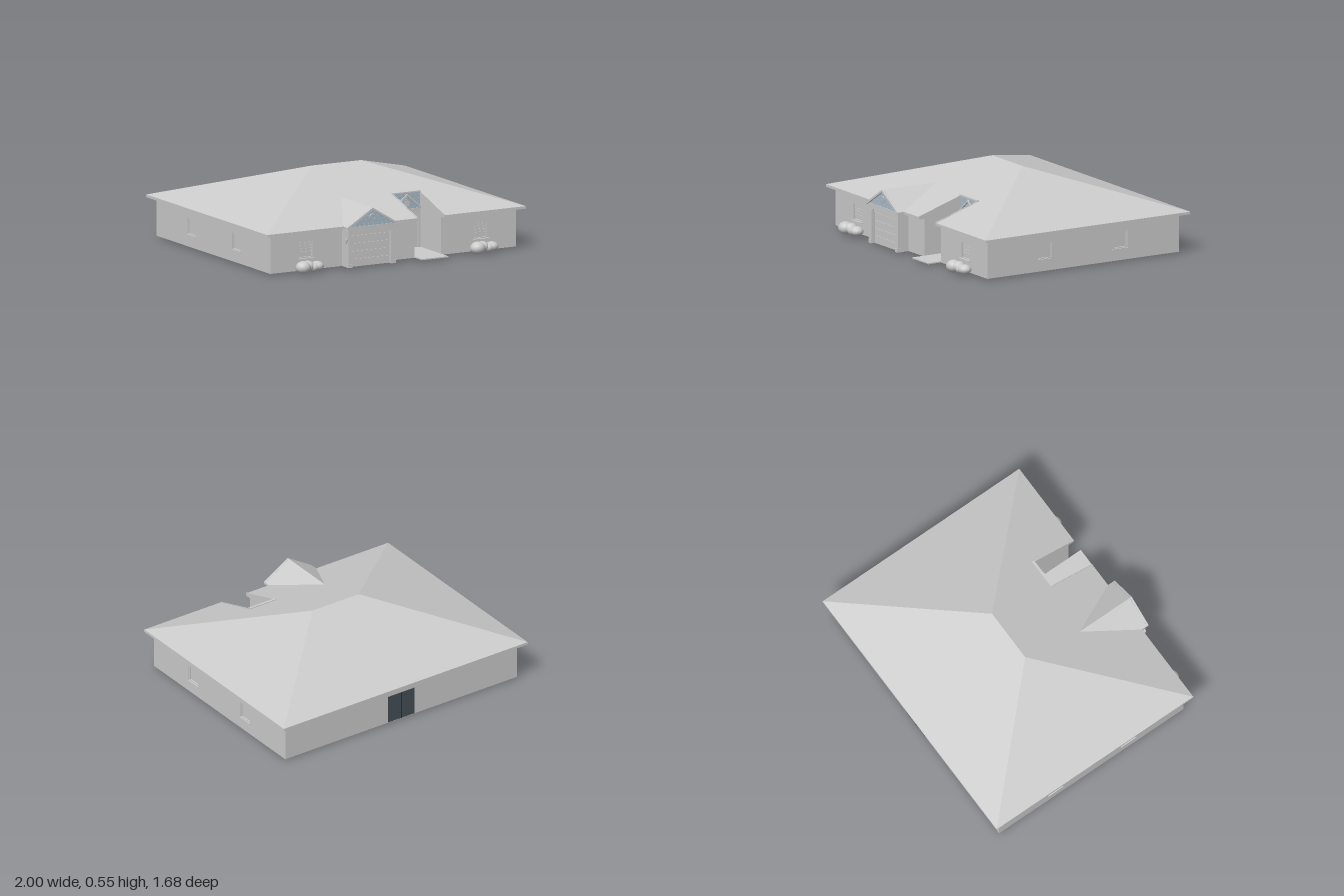
import * as THREE from 'three';

const mat = (color) => new THREE.MeshStandardMaterial({ color, flatShading: true, side: THREE.DoubleSide });
const GREY = mat(0xcccccc), SIDING = mat(0xa9bcc9), DARK = mat(0x2e2e2e), GLASS = mat(0x444f58);
const SOFT = new THREE.MeshStandardMaterial({ color: 0xcccccc });

// Main dimensions
const BASE = 0.01, EAVE = 0.288, RIDGE = 0.545;
const WALL = { x: 0.95, front: 0.73, back: -0.79 };
const ROOF = { x: 1, front: 0.775, back: -0.845, ridgeX: 0.19, ridgeZ: -0.03 };
const ENTRY = { x0: 0.165, x1: 0.37, back: 0.445 };
const GARAGE = { x: -0.215, half: 0.195, front: 0.83, apexZ: 0.4, ridge: 0.408 };

function add(parent, name, geometry, material = GREY, x = 0, y = 0, z = 0) {
  const mesh = new THREE.Mesh(geometry, material);
  mesh.name = name;
  mesh.position.set(x, y, z);
  parent.add(mesh);
  return mesh;
}

// Box given by its extents
function box(parent, name, [x0, x1], [y0, y1], [z0, z1], material = GREY) {
  return add(parent, name, new THREE.BoxGeometry(x1 - x0, y1 - y0, z1 - z0), material,
    (x0 + x1) / 2, (y0 + y1) / 2, (z0 + z1) / 2);
}

const polygon = (points) => new THREE.Shape(points.map(([x, y]) => new THREE.Vector2(x, y)));
const extrude = (shape, depth) => new THREE.ExtrudeGeometry(shape, { depth, bevelEnabled: false, curveSegments: 16 });

// Plan outline (x, z) laid flat, then lifted by a height rule
function slope(points, height) {
  const geometry = new THREE.ShapeGeometry(polygon(points.map(([x, z]) => [x, -z])));
  geometry.rotateX(-Math.PI / 2);
  const p = geometry.attributes.position;
  for (let i = 0; i < p.count; i++) p.setY(i, height(p.getX(i), p.getZ(i)));
  geometry.computeVertexNormals();
  return geometry;
}

// Plan outline (x, z) turned into a flat slab
function slab(points, y, depth) {
  return extrude(polygon(points.map(([x, z]) => [x, -z])), depth).rotateX(-Math.PI / 2).translate(0, y, 0);
}

// Rectangle with the entry recess cut into its front edge
const notched = (x, front, back) => [[-x, front], [ENTRY.x0, front], [ENTRY.x0, ENTRY.back],
  [ENTRY.x1, ENTRY.back], [ENTRY.x1, front], [x, front], [x, back], [-x, back]];

const roofHeight = (x, z) => EAVE + (RIDGE - EAVE) * Math.min(
  (ROOF.x - Math.abs(x)) / (ROOF.x - ROOF.ridgeX),
  (z - ROOF.back) / (ROOF.ridgeZ - ROOF.back),
  (ROOF.front - z) / (ROOF.front - ROOF.ridgeZ));

const WIN = { w: 0.11, y0: 0.092, y1: 0.207 };

// Window set into a wall whose outer face is local z = 0
function addWindow(parent, cx, blinds) {
  const g = new THREE.Group();
  g.name = 'window';
  g.position.x = cx;
  parent.add(g);
  const h = WIN.w / 2, t = 0.007;
  box(g, 'windowPane', [-h, h], [WIN.y0, WIN.y1], [-0.019, -0.014]);
  for (const s of [-1, 1]) box(g, 'windowJamb', [s * h - (s > 0 ? t : 0), s * h + (s < 0 ? t : 0)], [WIN.y0, WIN.y1], [-0.016, -0.004]);
  for (const y of [WIN.y0, WIN.y1 - t]) box(g, 'windowRail', [-h, h], [y, y + t], [-0.016, -0.004]);
  box(g, 'windowSill', [-h - 0.008, h + 0.008], [WIN.y0 - 0.008, WIN.y0], [-0.01, blinds ? 0.012 : 0.005]);
  if (blinds) for (let i = 0; i < 4; i++) {
    const y = 0.118 + i * 0.021;
    box(g, 'blindSlat', [-h + t, h - t], [y, y + 0.017], [-0.014, -0.01]);
  }
}

// Wall from an outline, with window openings
function addWall(parent, name, outline, windows, blinds) {
  const g = new THREE.Group();
  g.name = name;
  parent.add(g);
  const shape = polygon(outline);
  for (const x of windows) {
    const a = x - WIN.w / 2, b = x + WIN.w / 2;
    shape.holes.push(polygon([[a, WIN.y0], [a, WIN.y1], [b, WIN.y1], [b, WIN.y0]]));
    addWindow(g, x, blinds);
  }
  add(g, name + 'Panel', extrude(shape, 0.02), GREY, 0, 0, -0.02);
  return g;
}

// Overlapping horizontal boards inside a triangle or rectangle
function addSiding(parent, cx, z, y0, y1, halfAt, rows) {
  const step = (y1 - y0) / rows;
  for (let i = 0; i < rows; i++) {
    const a = y0 + i * step, b = a + step, wa = halfAt(a), wb = halfAt(b);
    add(parent, 'sidingBoard', extrude(polygon([[cx - wa, a], [cx + wa, a], [cx + wb, b], [cx - wb, b]]),
      i % 2 ? 0.003 : 0.006), SIDING, 0, 0, z);
  }
}

// Inverted V trim board
const chevron = (half, y0, y1, t) => polygon([[-half, y0], [0, y1], [half, y0], [half, y0 - t], [0, y1 - t], [-half, y0 - t]]);

function buildRoof(root) {
  const g = new THREE.Group();
  g.name = 'roof';
  root.add(g);
  const { x: X, front, back, ridgeX: r, ridgeZ: rz } = ROOF;
  add(g, 'frontSlope', slope([...notched(X, front, back).slice(0, 6), [r, rz], [-r, rz]], roofHeight));
  add(g, 'backSlope', slope([[-X, back], [-r, rz], [r, rz], [X, back]], roofHeight));
  for (const s of [-1, 1]) add(g, 'hipSlope', slope([[s * X, front], [s * X, back], [s * r, rz]], roofHeight));
  add(g, 'eaves', slab(notched(X, front, back), 0.27, EAVE - 0.27));
}

function buildWalls(root) {
  const top = 0.272, { x: X, front, back } = WALL;
  add(root, 'floor', slab(notched(X, front, back), BASE, 0.006));
  addWall(root, 'frontWall', [[-X, BASE], [ENTRY.x0, BASE], [ENTRY.x0, top], [-X, top]], [-0.675], true).position.z = front;
  addWall(root, 'frontWall', [[ENTRY.x1, BASE], [X, BASE], [X, top], [ENTRY.x1, top]], [0.675], true).position.z = front;
  const mid = (front + back) / 2, half = (front - back) / 2;
  for (const s of [-1, 1]) {
    const wall = addWall(root, 'sideWall', [[-half, BASE], [half, BASE], [half, top], [-half, top]],
      [0.275, -0.325].map((z) => -s * (z - mid)), false);
    wall.position.set(s * X, 0, mid);
    wall.rotation.y = s * Math.PI / 2;
  }
  box(root, 'backWall', [-X, X], [BASE, top], [back, back + 0.02]);
  // Sliding patio door
  for (const s of [-1, 1]) box(root, 'patioDoorPanel', [s * 0.055 - 0.053, s * 0.055 + 0.053], [0.014, 0.21], [back - 0.003, back], GLASS);
  box(root, 'patioDoorPost', [-0.003, 0.003], [0.014, 0.21], [back - 0.005, back], DARK);
}

function buildEntry(root) {
  const g = new THREE.Group();
  g.name = 'entry';
  root.add(g);
  const { x0, x1, back } = ENTRY, cx = (x0 + x1) / 2, half = (x1 - x0) / 2;
  box(g, 'entryPath', [x0, x1], [BASE, 0.018], [back, 0.83]);
  box(g, 'entryBackWall', [x0, x1], [BASE, 0.395], [back - 0.012, back]);
  box(g, 'entryCap', [x0 - 0.008, x1 + 0.008], [0.393, 0.402], [back - 0.012, back + 0.006]);
  // Recess side walls follow the roof slope
  for (const x of [x0 - 0.006, x1]) {
    const side = polygon([[-0.73, BASE], [-back, BASE], [-back, roofHeight(0.2, back) + 0.004],
      [-ROOF.front, EAVE + 0.004], [-ROOF.front, 0.27], [-0.73, 0.27]]);
    add(g, 'entrySideWall', extrude(side, 0.006).rotateY(Math.PI / 2), GREY, x);
  }
  addSiding(g, cx, back, 0.285, 0.393, () => half, 8);
  add(g, 'entryGableTrim', extrude(chevron(half, 0.302, 0.388, 0.016), 0.014), GREY, cx, 0, back);
  add(g, 'entryGableVent', extrude(polygon([[-0.017, 0.305], [0.017, 0.305], [0.017, 0.335], [0, 0.35], [-0.017, 0.335]]), 0.01), GREY, cx, 0, back);
  box(g, 'entryBeam', [x0, x1], [0.24, 0.287], [back, back + 0.012]);
  for (const x of [x0, x1 - 0.016]) box(g, 'entryPilaster', [x, x + 0.016], [BASE, 0.24], [back, back + 0.012]);
  for (const x of [0.205, 0.315]) box(g, 'doorJamb', [x, x + 0.01], [0.018, 0.22], [back, back + 0.008]);
  box(g, 'doorHead', [0.205, 0.325], [0.21, 0.22], [back, back + 0.008]);
  box(g, 'frontDoor', [0.215, 0.315], [0.018, 0.21], [back, back + 0.005], DARK);
}

function buildGarage(root) {
  const g = new THREE.Group();
  g.name = 'garage';
  root.add(g);
  const { x: cx, half, front, apexZ, ridge } = GARAGE;
  // Gable roof running back into the main slope
  const height = (x) => ridge - (ridge - EAVE) * Math.abs(x - cx) / half;
  for (const s of [-1, 1]) {
    add(g, 'garageRoofSlope', slope([[cx, front], [cx + s * half, front], [cx + s * half, ROOF.front], [cx, apexZ]], height));
    const a = cx + s * 0.18, b = cx + s * 0.172;
    box(g, 'garageSideWall', [Math.min(a, b), Math.max(a, b)], [BASE, 0.28], [0.73, 0.79]);
    box(g, 'garagePostBase', [cx + s * 0.167 - 0.016, cx + s * 0.167 + 0.016], [BASE, 0.035], [0.785, 0.82]);
  }
  box(g, 'garageSoffit', [cx - half, cx + half], [0.276, EAVE], [0.73, 0.822]);
  addSiding(g, cx, 0.812, EAVE, ridge - 0.004, (y) => half * (ridge - y) / (ridge - EAVE), 9);
  add(g, 'garageRakeTrim', extrude(chevron(half, EAVE, ridge, 0.016), 0.012), GREY, cx, 0, front - 0.012);
  const vent = add(g, 'gableVent', new THREE.CylinderGeometry(0.016, 0.016, 0.008, 20), SIDING, cx, 0.343, 0.82);
  vent.rotation.x = Math.PI / 2;
  add(g, 'gableVentRing', new THREE.TorusGeometry(0.018, 0.004, 6, 24), SOFT, cx, 0.343, 0.821);
  // Front frame with a shallow arch
  const face = polygon([[-0.18, BASE], [-0.18, 0.278], [0.18, 0.278], [0.18, BASE], [0.15, BASE], [0.15, 0.238]]);
  face.quadraticCurveTo(0, 0.292, -0.15, 0.238);
  face.lineTo(-0.15, BASE);
  add(g, 'garageFrame', extrude(face, 0.025), GREY, cx, 0, 0.79);
  box(g, 'garageLintel', [cx - 0.15, cx + 0.15], [0.224, 0.277], [0.78, 0.797]);
  box(g, 'garageDoor', [cx - 0.15, cx + 0.15], [BASE, 0.224], [0.78, 0.79]);
  for (let i = 0; i < 4; i++) {
    const y = 0.014 + i * 0.053;
    box(g, 'garageDoorPanel', [cx - 0.142, cx + 0.142], [y, y + 0.049], [0.79, 0.795]);
  }
  // Wall lamp
  box(g, 'lampBracket', [-0.41, -0.393], [0.207, 0.213], [0.793, 0.807]);
  add(g, 'lampLantern', new THREE.CylinderGeometry(0.011, 0.007, 0.032, 6), GREY, -0.405, 0.19, 0.8);
}

function buildBushes(root) {
  const clumps = [[-0.055, 0.043, 0.79, 0.053, 0.043, 0.05], [-0.012, 0.045, 0.775, 0.045, 0.038, 0.045],
    [0.06, 0.04, 0.775, 0.047, 0.034, 0.045], [0.03, 0.037, 0.783, 0.04, 0.032, 0.038]];
  for (const cx of [-0.675, 0.675]) {
    const g = new THREE.Group();
    g.name = 'bush';
    g.position.x = cx;
    root.add(g);
    for (const [x, y, z, rx, ry, rz] of clumps)
      add(g, 'bushClump', new THREE.SphereGeometry(1, 20, 14), SOFT, x, y, z).scale.set(rx, ry, rz);
  }
}

export function createModel() {
  const root = new THREE.Group();
  root.name = 'house';
  for (const build of [buildWalls, buildRoof, buildEntry, buildGarage, buildBushes]) build(root);
  return root;
}
